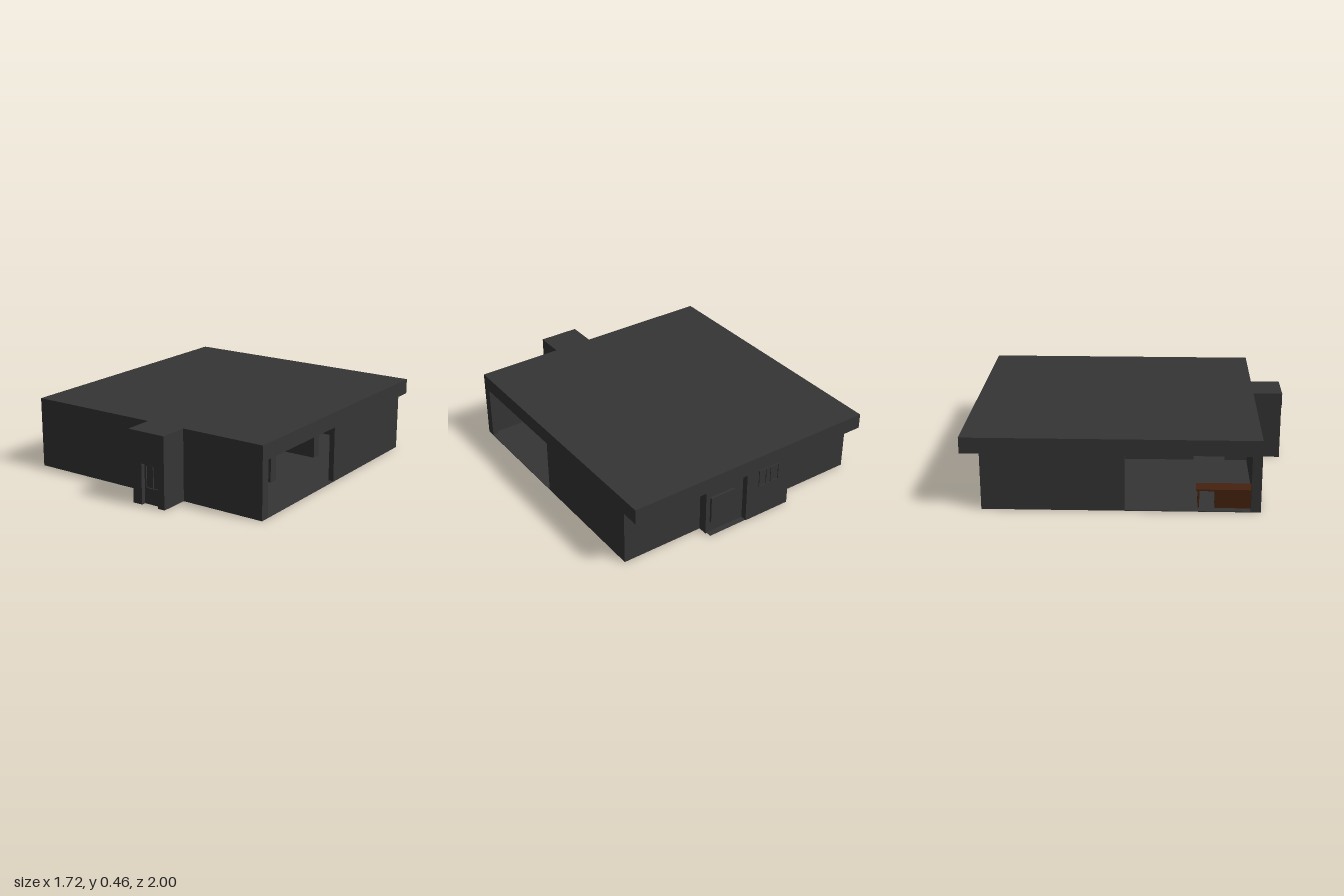
import * as THREE from 'three';

export function createModel() {
  const model = new THREE.Group();
  const charcoal = new THREE.MeshStandardMaterial({ color: 0x353535 });
  charcoal.name = 'charcoal';
  const wood = new THREE.MeshStandardMaterial({ color: 0x45220f });
  wood.name = 'brown wood';

  // Box given by its extents along each axis
  function block(name, [x0, x1], [y0, y1], [z0, z1], material = charcoal, parent = model) {
    const mesh = new THREE.Mesh(new THREE.BoxGeometry(x1 - x0, y1 - y0, z1 - z0), material);
    mesh.position.set((x0 + x1) / 2, (y0 + y1) / 2, (z0 + z1) / 2);
    mesh.name = name;
    parent.add(mesh);
    return mesh;
  }

  // Rectangular frame of thin bars, with optional upright dividers
  function frame(name, [x0, x1], [y0, y1], [z0, z1], bar, dividers = []) {
    const group = new THREE.Group();
    group.name = name;
    for (const x of [x0, x1 - bar, ...dividers]) {
      block('upright', [x, x + bar], [y0, y1], [z0, z1], charcoal, group);
    }
    for (const y of [y0, y1 - bar]) {
      block('rail', [x0, x1], [y, y + bar], [z0, z1], charcoal, group);
    }
    model.add(group);
  }

  const wallY = [0, 0.36], roofY = [0.36, 0.46];

  // Floor and flat roof
  block('floor', [-0.86, 0.86], [0, 0.004], [-0.88, 0.81]);
  block('roof', [-0.86, 0.86], roofY, [-1, 0.81]);
  block('porchRoof', [0.03, 0.295], roofY, [0.81, 1]);

  // Outer walls; the front half of each side stays open
  block('frontWall', [-0.86, 0.86], wallY, [0.775, 0.81]);
  block('backWall', [-0.86, 0.86], wallY, [-0.88, -0.845]);
  for (const side of [-1, 1]) {
    const xs = [side * 0.86, side * 0.825].sort((a, b) => a - b);
    block('sideWall', xs, wallY, [-0.88, -0.01]);
    block('frontJamb', xs, wallY, [0.75, 0.78]);
  }

  // Inner walls, one with a wide doorway
  block('middleWallBack', [-0.02, 0.02], wallY, [-0.34, 0.42]);
  block('middleWallFront', [-0.02, 0.02], wallY, [0.63, 0.775]);
  block('middleWallLintel', [-0.02, 0.02], [0.26, 0.36], [0.42, 0.63]);
  block('crossWall', [0, 0.55], wallY, [0.18, 0.24]);
  block('rearCrossWall', [-0.83, 0.52], wallY, [-0.4, -0.34]);

  // Entrance porch with a recessed door
  block('porchLeftPier', [0.245, 0.295], wallY, [0.81, 1]);
  block('porchRightPier', [0.06, 0.125], wallY, [0.81, 1]);
  block('porchLintel', [0.125, 0.245], [0.26, 0.36], [0.81, 1]);
  block('frontDoor', [0.125, 0.245], [0, 0.26], [0.955, 0.97]);
  frame('doorWindowFrame', [0.137, 0.235], [0.1, 0.25], [0.97, 0.978], 0.006, [0.188]);

  // Stepped bay at the back with its windows
  block('backBay', [-0.3, 0.03], wallY, [-0.98, -0.88]);
  block('backBaySetback', [0.03, 0.31], wallY, [-0.94, -0.88]);
  block('backStep', [0.03, 0.3], [0, 0.004], [-0.975, -0.94]);
  block('backShutter', [0.1, 0.28], [0.08, 0.26], [-0.955, -0.94]);
  frame('backWindowFrame', [-0.215, -0.06], [0.22, 0.34], [-0.986, -0.98], 0.006, [-0.155, -0.12]);

  // Wooden counter on the open side
  const counter = new THREE.Group();
  counter.name = 'counter';
  model.add(counter);
  block('counterTop', [-0.82, -0.715], [0.118, 0.128], [0.42, 0.765], wood, counter);
  block('counterCabinet', [-0.81, -0.72], [0, 0.118], [0.535, 0.755], wood, counter);
  for (const x of [-0.805, -0.735]) {
    block('counterLeg', [x, x + 0.01], [0, 0.118], [0.43, 0.44], wood, counter);
  }

  return model;
}
